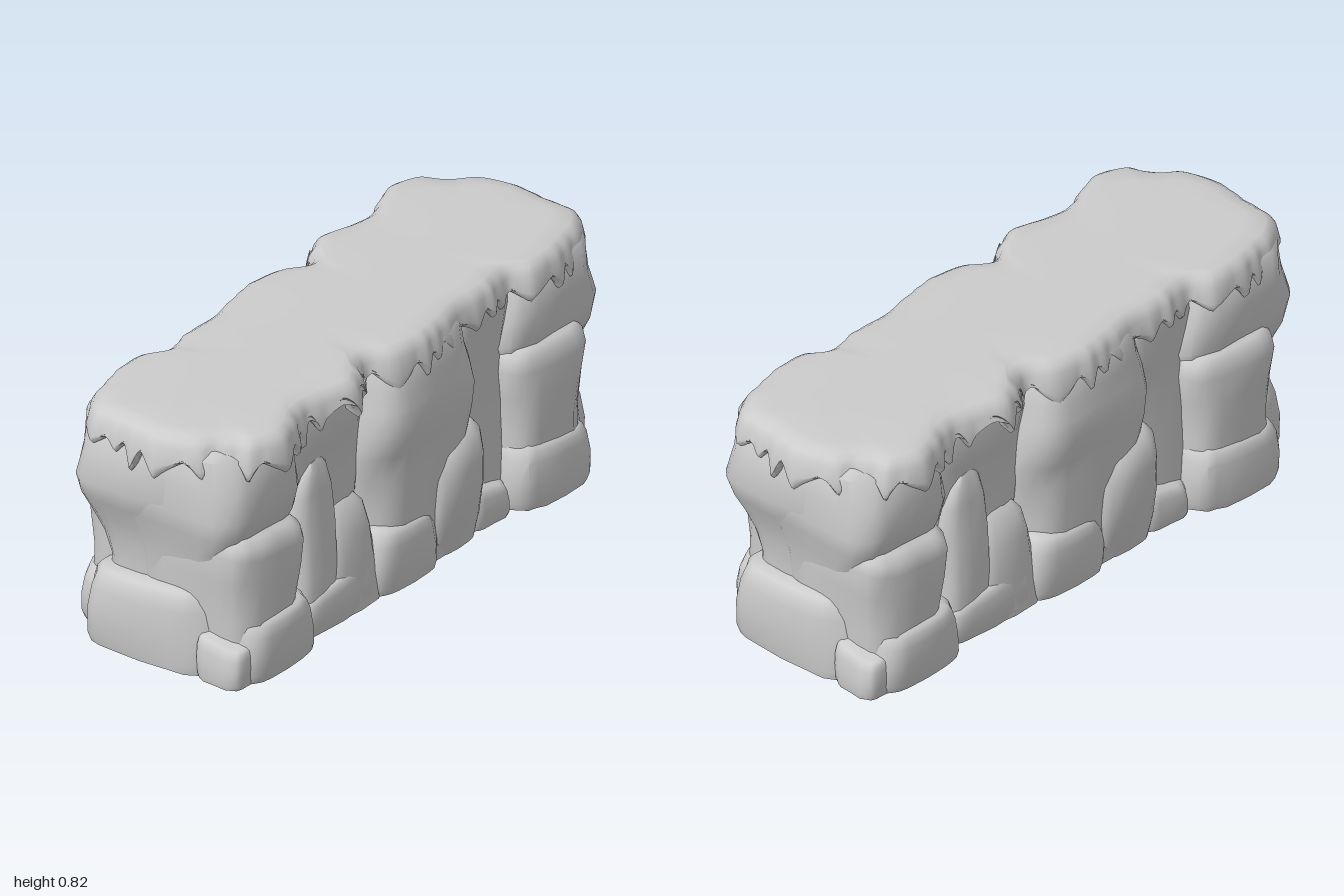
import * as THREE from 'three';
import { toCreasedNormals } from 'three/addons/utils/BufferGeometryUtils.js';

const stone = new THREE.MeshStandardMaterial({ color: 0xcccccc });
stone.name = 'pale grey stone';

// Small seeded random generator
function seeded(seed) {
  let s = seed * 7919 + 17;
  const next = () => { s = (s * 16807) % 2147483647; return s / 2147483647; };
  next(); next();
  return next;
}

// Skin a stack of rings, bottom to top, each running from +x towards +z; close both ends
function skin(rings, low, high, crease) {
  const n = rings[0].length, pos = [], idx = [];
  rings.forEach(r => r.forEach(p => pos.push(...p)));
  for (let j = 0; j < rings.length - 1; j++) {
    for (let i = 0; i < n; i++) {
      const k = (i + 1) % n, a = j * n + i, b = j * n + k;
      idx.push(a, a + n, b, b, a + n, b + n);
    }
  }
  const bottom = pos.length / 3, top = bottom + 1, last = (rings.length - 1) * n;
  pos.push(...low, ...high);
  for (let i = 0; i < n; i++) {
    const k = (i + 1) % n;
    idx.push(bottom, i, k, top, last + k, last + i);
  }
  const g = new THREE.BufferGeometry();
  g.setAttribute('position', new THREE.Float32BufferAttribute(pos, 3));
  g.setIndex(idx);
  return toCreasedNormals(g, crease);
}

// Rounded, slightly irregular block filling x0..x1, z0..z1; levels are [y, scale x, scale z]
function rock(name, seed, [x0, x1, z0, z1], levels) {
  const rnd = seeded(seed), n = 24, cx = (x0 + x1) / 2, cz = (z0 + z1) / 2;
  const rx = (x1 - x0) / 2, rz = (z1 - z0) / 2;
  const soft = v => Math.sign(v) * Math.pow(Math.abs(v), 0.5);
  const tilt = (rnd() - 0.5) * 0.05, lean = -rnd() * 0.015, phase = rnd() * 6;
  const wobble = Array.from({ length: n }, () => 0.97 + rnd() * 0.05);
  const y0 = levels[0][0], y1 = levels[levels.length - 1][0];
  const rings = levels.map(([y, sx, sz = sx]) => wobble.map((w, i) => {
    const a = i / n * Math.PI * 2, f = (y - y0) / (y1 - y0);
    const u = soft(Math.cos(a)), v = soft(Math.sin(a));
    const m = w + 0.025 * Math.sin(3 * a + phase + y * 14);
    return [cx + rx * u * sx * m, y + f * (tilt * u + lean * v), cz + rz * v * sz * m];
  }));
  const mesh = new THREE.Mesh(skin(rings, [cx, y0, cz], [cx, y1 + 0.008, cz], 0.9), stone);
  mesh.name = name;
  return mesh;
}

// Profile of a boulder between two heights
function boulder(y0, y1) {
  const h = y1 - y0;
  return [[0, 0.96], [0.12, 1], [0.45, 1.01], [0.75, 0.98], [0.9, 0.93], [0.97, 0.86], [1, 0.74]]
    .map(([f, s]) => [y0 + f * h, s]);
}

// Profile of an end column that swells above a narrow foot
const endColumn = [[0, 0.7, 0.66], [0.28, 0.72, 0.66], [0.36, 0.78, 0.74], [0.43, 0.87, 0.86], [0.49, 0.97, 0.98],
  [0.56, 1.07, 1.03], [0.65, 0.98, 1], [0.76, 0.95, 0.94], [0.79, 0.8, 0.8]];

// Half of the rocks; the other half is the same turned by 180 degrees
function halfCliff() {
  const g = new THREE.Group();
  g.add(
    // Left end
    rock('leftColumn', 1, [-0.97, -0.55, -0.18, 0.32], endColumn),
    rock('leftTallBoulder', 2, [-0.935, -0.58, -0.08, 0.36], [[0, 0.86], [0.2, 0.91], [0.33, 0.96], [0.42, 1.01], [0.46, 0.98], [0.485, 0.86]]),
    rock('leftFootBoulder', 3, [-0.96, -0.73, 0.16, 0.34], boulder(0, 0.15)),
    rock('leftFootSlab', 4, [-0.9, -0.56, 0.08, 0.37], boulder(0, 0.21)),
    // Recess beside the left column
    rock('recessWall', 5, [-0.62, -0.15, -0.1, 0.27], [[0, 0.95], [0.3, 0.9], [0.45, 0.92], [0.6, 1], [0.7, 1.06], [0.78, 0.95]]),
    rock('recessSpire', 6, [-0.57, -0.35, 0.02, 0.3], [[0, 1.05], [0.2, 1], [0.35, 0.92], [0.47, 0.78, 0.9], [0.54, 0.6, 0.85], [0.57, 0.4, 0.75]]),
    rock('recessBoulder', 7, [-0.42, -0.17, 0.02, 0.31], [[0, 1.06], [0.15, 1], [0.26, 0.9], [0.34, 0.75], [0.38, 0.5]]),
    rock('recessFoot', 8, [-0.58, -0.18, 0.02, 0.32], boulder(0, 0.15)),
    // Middle
    rock('middleColumn', 9, [-0.21, 0.31, -0.12, 0.34], [[0, 0.94, 0.88], [0.25, 0.95, 0.9], [0.38, 0.97, 0.95], [0.46, 1, 1], [0.55, 1, 1.09], [0.62, 1, 1.03], [0.68, 0.97, 0.96], [0.76, 0.92, 0.9], [0.79, 0.8, 0.8]]),
    rock('middleFootSlab', 10, [-0.21, 0.11, 0.02, 0.345], boulder(0, 0.21)),
    rock('middleFootBoulder', 11, [0.07, 0.35, 0.02, 0.345], [[0, 0.8], [0.08, 0.9], [0.18, 1], [0.29, 1], [0.36, 0.92], [0.4, 0.7]]),
    // Narrow gap
    rock('gapWall', 12, [0.25, 0.57, -0.1, 0.26], [[0, 1], [0.3, 0.95], [0.55, 0.97], [0.7, 1.05], [0.78, 1]]),
    rock('gapFoot', 13, [0.3, 0.5, 0.02, 0.31], boulder(0, 0.13)),
    // Right end
    rock('rightColumn', 14, [0.49, 0.97, -0.18, 0.31], endColumn),
    rock('rightTallBoulder', 15, [0.49, 0.84, 0.02, 0.355], [[0, 0.92], [0.25, 0.93], [0.38, 0.97], [0.47, 1.01], [0.52, 0.96], [0.54, 0.84]]),
    rock('rightFootSlab', 16, [0.49, 0.86, 0.02, 0.37], boulder(0, 0.21)),
    rock('rightFootBlock', 17, [0.62, 0.97, -0.21, 0.27], boulder(0, 0.26))
  );
  return g;
}

// Overhanging cap with a ragged, dripping skirt
function cap() {
  const half = [[-1, 0.05], [-0.97, 0.18], [-0.9, 0.25], [-0.86, 0.33], [-0.76, 0.37], [-0.67, 0.35], [-0.58, 0.31],
    [-0.5, 0.31], [-0.36, 0.345], [-0.27, 0.31], [-0.2, 0.26], [-0.12, 0.31], [0, 0.335], [0.12, 0.32], [0.26, 0.295],
    [0.4, 0.295], [0.5, 0.275], [0.58, 0.32], [0.68, 0.325], [0.8, 0.3], [0.9, 0.27], [0.97, 0.2], [0.985, 0.07]];
  const loop = [...half, ...half.map(([x, z]) => [-x, -z])].reverse();
  const curve = new THREE.CatmullRomCurve3(loop.map(([x, z]) => new THREE.Vector3(x, 0, z)), true);
  const n = 480, teeth = 25, line = curve.getSpacedPoints(n).slice(0, n);
  const rnd = seeded(5);
  const sizes = Array.from({ length: teeth }, () => 0.035 + rnd() * 0.05);
  // Skirt edge at each step: pointed drips between arches, shorter over the recess
  const drip = line.map((p, i) => {
    const u = i / n * 2 % 1, t = (u + 0.012 * Math.sin(u * Math.PI * 14)) * teeth;
    const k = Math.min(teeth - 1, Math.max(0, Math.floor(t))), f = t - k;
    const across = p.z > 0 ? p.x : -p.x;
    const inRecess = THREE.MathUtils.smoothstep(across, -0.6, -0.5) * (1 - THREE.MathUtils.smoothstep(across, -0.24, -0.14));
    const tip = 1 - Math.abs(2 * f - 1);
    return { y: 0.735 + 0.035 * inRecess - sizes[k] * Math.pow(tip, 1.3), puff: tip * 0.012 };
  });
  // Outline moved inwards by inset
  const ring = (inset, height, puff) => line.map((p, i) => {
    const a = line[(i + n - 4) % n], b = line[(i + 4) % n];
    const nx = b.z - a.z, nz = a.x - b.x, l = Math.hypot(nx, nz);
    const d = drip[i].puff * puff - inset;
    return [p.x + nx / l * d, height(drip[i].y), p.z + nz / l * d];
  });
  // Outline drawn in towards the middle line
  const flatten = (sx, sz, y) => line.map(p => [p.x * sx, y, p.z * sz]);
  const rings = [
    flatten(0.85, 0.1, 0.76),
    flatten(0.9, 0.7, 0.76),
    ring(0.045, y => y + 0.02, 0),
    ring(0.016, y => y, 1),
    ring(0.003, y => y + 0.014, 1),
    ring(0.003, y => 0.5 * y + 0.375, 1),
    ring(0.011, () => 0.78, 0.6),
    ring(0.022, () => 0.803, 0.3),
    ring(0.042, () => 0.817, 0),
    flatten(0.92, 0.7, 0.821),
    flatten(0.87, 0.35, 0.823),
    flatten(0.85, 0.02, 0.824)
  ];
  const mesh = new THREE.Mesh(skin(rings, [0, 0.76, 0], [0, 0.824, 0], 0.9), stone);
  mesh.name = 'overhangingCap';
  return mesh;
}

export function createModel() {
  const model = new THREE.Group();
  model.name = 'rockCliff';
  const front = halfCliff();
  front.name = 'frontRocks';
  const back = halfCliff();
  back.name = 'backRocks';
  back.rotation.y = Math.PI;
  // Solid core behind the rocks
  const core = new THREE.Mesh(new THREE.BoxGeometry(1.5, 0.78, 0.4), stone);
  core.position.y = 0.39;
  core.name = 'core';
  model.add(front, back, core, cap());
  return model;
}
